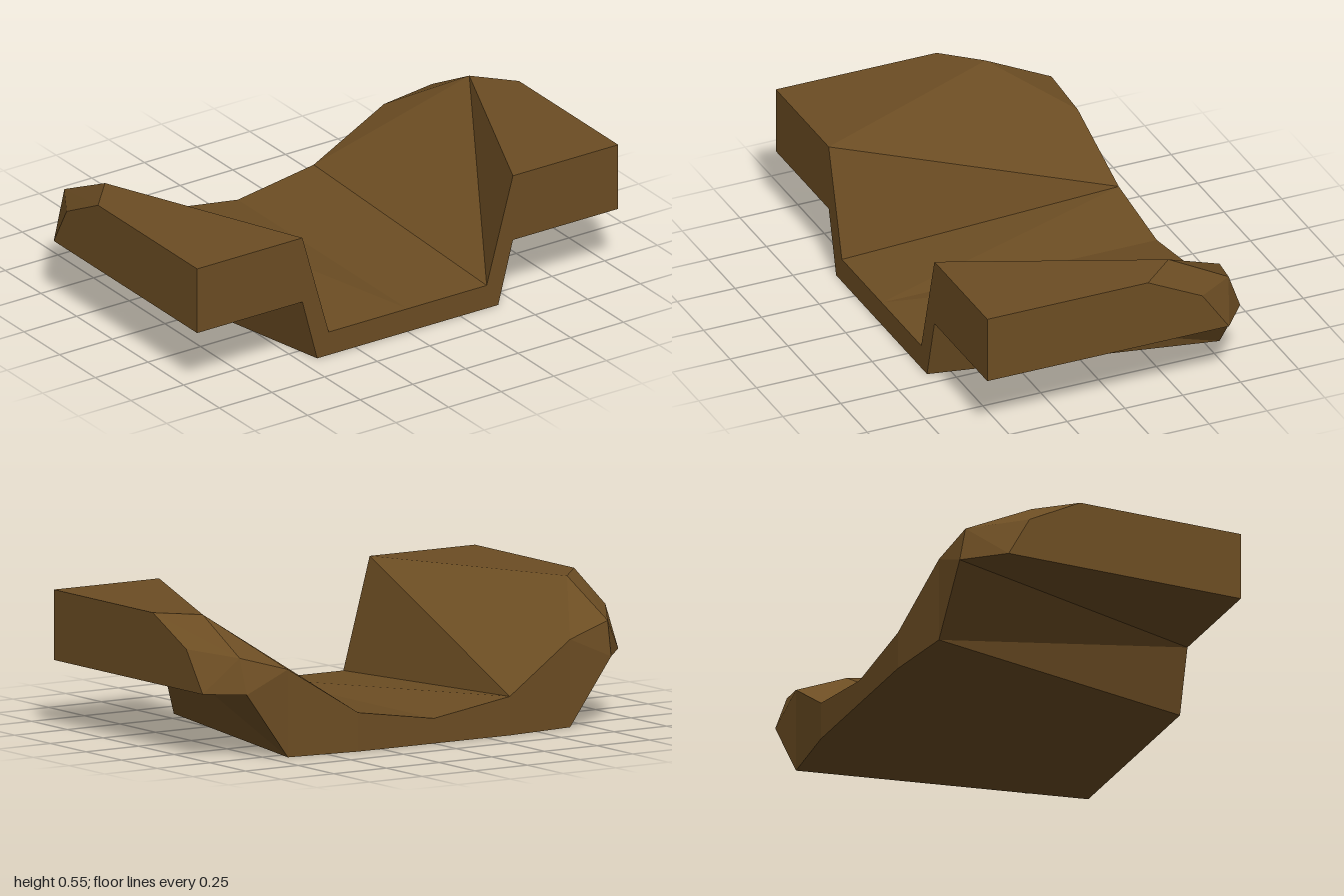
import * as THREE from 'three';

const brown = new THREE.MeshStandardMaterial({ color: 0x6c4d23 });
brown.name = 'earth brown';

// Corner points of one half, side = 1 for +x and -1 for -x
function cornerPoints(side) {
  const l = side > 0;
  return {
    // front profile
    F1: [0.5, 0.545, 0.595], F2: [1, 0.545, 0.595], F3: [1, 0.265, 0.595],
    F4: [0.5, 0.265, 0.595], F5: [0.43, 0, 0.595], F6: [0.375, 0.1, 0.595],
    // shoulder top, outer side and chamfered back corner
    T1: [1, 0.545, -0.1], T2: [0.865, 0.545, -0.25],
    S1: l ? [1, 0.43, -0.335] : [1, 0.43, -0.32],
    S2: l ? [1, 0.265, -0.45] : [1, 0.265, -0.41],
    C: l ? [0.865, 0.405, -0.51] : [0.865, 0.405, -0.535],
    D: [0.865, 0.265, -0.56], B: [0.67, 0.35, -0.56], E: [0.67, 0, -0.56],
    // back edge of the channel and centre line
    G: [0.36, 0, -0.595], H: [0.36, 0.155, -0.595],
    M: [0, 0.1, -0.595], N: [0, 0.1, 0.595], O: [0, 0, 0.595], P: [0, 0, -0.595],
  };
}

// Flat polygons, each drawn as a fan from its first corner
function facetMesh(name, side, faces) {
  const pts = cornerPoints(side);
  const pos = [];
  for (const face of faces) {
    const c = face.split(' ').map((k) => pts[k]);
    for (let i = 1; i < c.length - 1; i++) {
      const tri = side > 0 ? [c[0], c[i], c[i + 1]] : [c[0], c[i + 1], c[i]];
      for (const [x, y, z] of tri) pos.push(x * side, y, z);
    }
  }
  const geo = new THREE.BufferGeometry();
  geo.setAttribute('position', new THREE.Float32BufferAttribute(pos, 3));
  geo.computeVertexNormals();
  const mesh = new THREE.Mesh(geo, brown);
  mesh.name = name;
  return mesh;
}

export function createModel() {
  const group = new THREE.Group();
  group.name = 'saddleBlock';
  for (const side of [1, -1]) {
    const label = side > 0 ? 'left' : 'right';
    // raised shoulder with bevelled back corner and underside
    group.add(facetMesh(label + 'Shoulder', side, [
      'F1 F4 F3 F2', 'F1 F2 T1 T2', 'F3 S2 S1 T1 F2', 'T1 S1 C T2',
      'C S1 S2 D', 'T2 C B', 'C D B', 'F3 F4 D S2',
    ]));
    // sloping channel wall, its flared outside and its ends
    group.add(facetMesh(label + 'Wall', side, [
      side > 0 ? 'T2 B H F6 F1' : 'H F6 F1 T2 B',
      'F1 F6 F5 F4', 'F4 F5 E D', 'B D E', 'B E G H',
    ]));
    // channel floor slab
    group.add(facetMesh(label + 'Floor', side, [
      'F6 N O F5', 'H M N F6', 'F5 O P G E', 'H G P M',
    ]));
  }
  return group;
}
